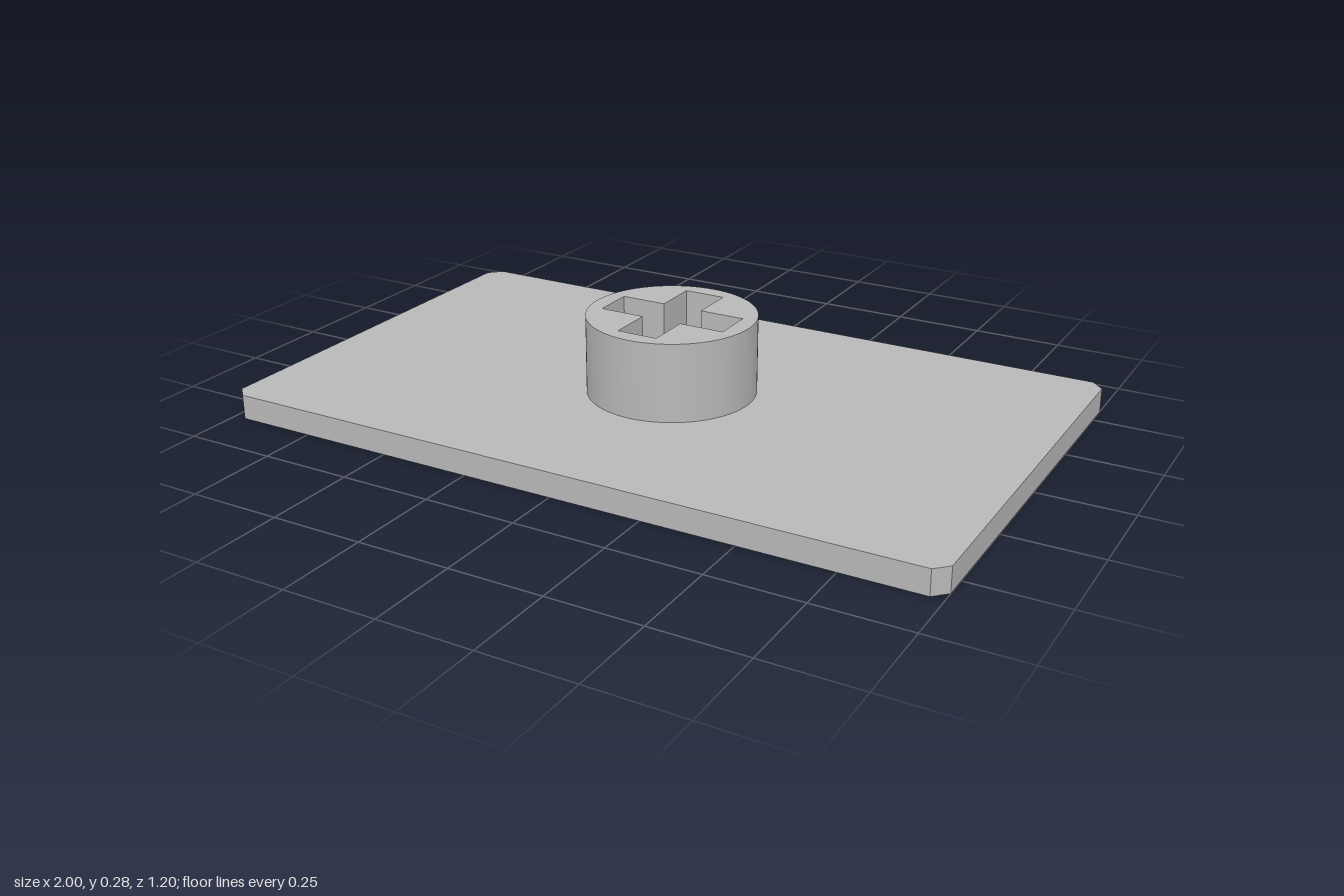
import * as THREE from 'three';
import { toCreasedNormals } from 'three/addons/utils/BufferGeometryUtils.js';

const PLATE_TOP = 0.067;
const BOSS_TOP = 0.28;

// Extrudes a plan outline upward from y = bottom to y = top
function extrudeUp(shape, bottom, top) {
  const geometry = new THREE.ExtrudeGeometry(shape, {
    depth: top - bottom, bevelEnabled: false, curveSegments: 64,
  });
  geometry.rotateX(-Math.PI / 2).translate(0, bottom, 0);
  return toCreasedNormals(geometry, 0.5);
}

// Rectangle with its four corners cut off
function chamferedRect(halfX, halfZ, cut) {
  const corners = [];
  for (const [sx, sz] of [[1, 1], [-1, 1], [-1, -1], [1, -1]]) {
    const pair = [
      new THREE.Vector2(sx * halfX, sz * (halfZ - cut)),
      new THREE.Vector2(sx * (halfX - cut), sz * halfZ),
    ];
    corners.push(...(sx * sz > 0 ? pair : pair.reverse()));
  }
  return new THREE.Shape(corners);
}

// Plus-shaped outline, one quarter repeated four times
function crossPath(reach, halfWidth) {
  const points = [];
  for (let i = 0; i < 4; i++) {
    for (const [x, y] of [[reach, -halfWidth], [reach, halfWidth], [halfWidth, halfWidth]]) {
      points.push(new THREE.Vector2(x, y).rotateAround(new THREE.Vector2(), i * Math.PI / 2));
    }
  }
  return new THREE.Path(points);
}

export function createModel() {
  const group = new THREE.Group();
  group.name = 'plateWithCrossSocket';
  const grey = new THREE.MeshStandardMaterial({ color: 0xb8b8b8 });
  grey.name = 'grey';

  const add = (name, geometry) => {
    const mesh = new THREE.Mesh(geometry, grey);
    mesh.name = name;
    group.add(mesh);
  };

  // Flat base plate
  add('basePlate', extrudeUp(chamferedRect(1, 0.598, 0.034), 0, PLATE_TOP));

  // Round boss with a cross socket down to the plate
  const boss = new THREE.Shape().absarc(0, 0, 0.227, 0, Math.PI * 2, false);
  boss.holes.push(crossPath(0.18, 0.056));
  add('socketBoss', extrudeUp(boss, PLATE_TOP, BOSS_TOP));

  return group;
}
